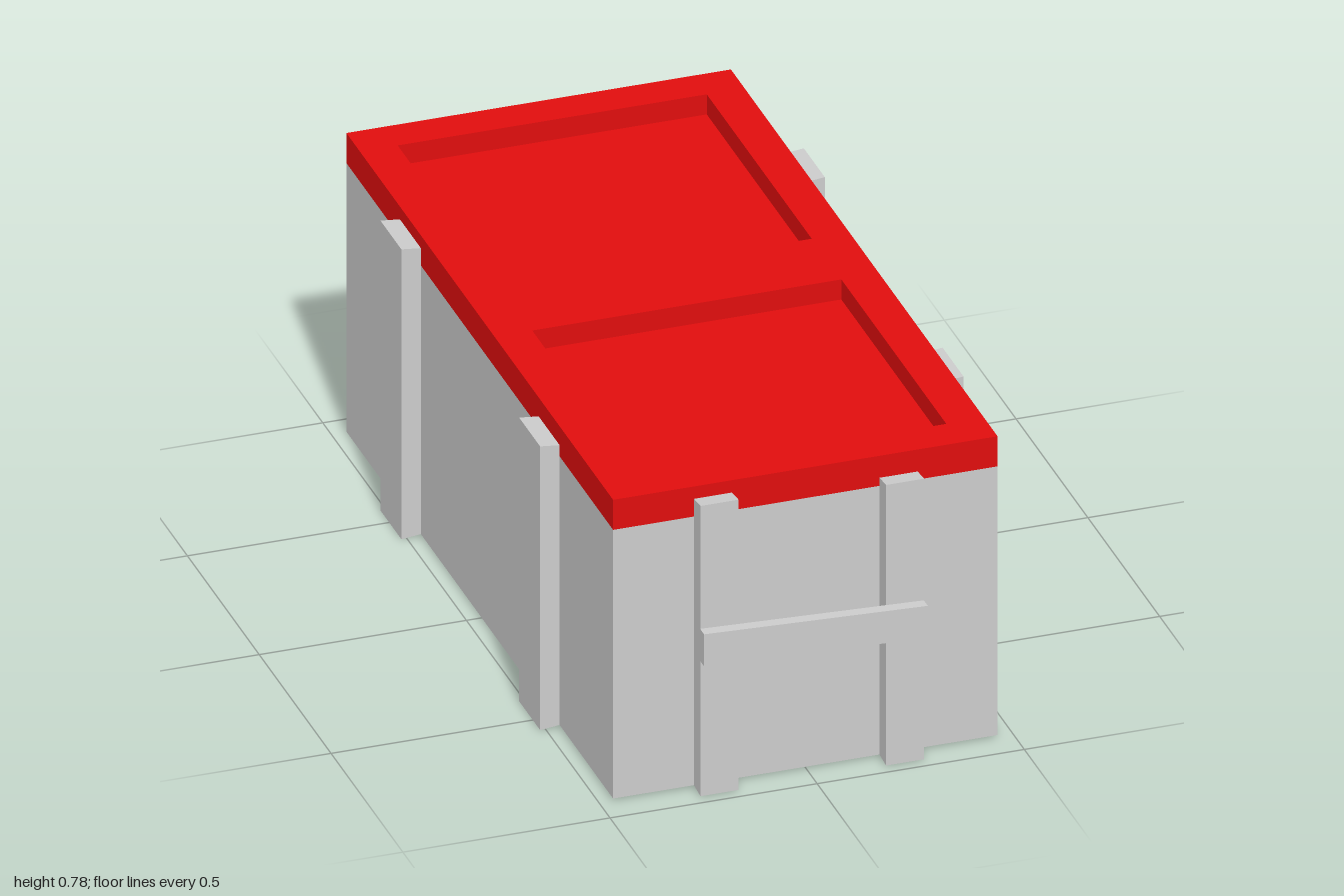
import * as THREE from 'three';

const grey = new THREE.MeshStandardMaterial({ color: 0xcccccc, flatShading: true });
const red = new THREE.MeshStandardMaterial({ color: 0xe00d0d, flatShading: true });

// Main dimensions; the box sits very slightly off centre
const HX = 0.464, HZ = 0.9285, CX = -0.002, CZ = -0.005;
const BASE = 0.005, RIM = 0.702, TOP = 0.78, FLOOR = 0.728;

function addMesh(parent, name, geometry, material) {
  const mesh = new THREE.Mesh(geometry, material);
  mesh.name = name;
  parent.add(mesh);
  return mesh;
}

// Box whose vertices are moved by a rule: (x, y, z) -> new y
function bentBox(w, h, d, rule) {
  const g = new THREE.BoxGeometry(w, h, d);
  const p = g.attributes.position;
  for (let i = 0; i < p.count; i++) p.setY(i, rule(p.getX(i), p.getY(i), p.getZ(i)));
  g.computeVertexNormals();
  return g;
}

// Upright batten facing +z, its outer face a touch taller than its inner one
function battenGeometry(width, top, depth) {
  return bentBox(width, 1, depth, (x, y, z) => {
    const inset = z > 0 ? 0 : 0.005;
    return y > 0 ? top - inset : inset;
  });
}

// Tilted handle slat with vertical ends, facing +z
function slatGeometry(width, depth, leftY, rightY) {
  return bentBox(width, 0.083, depth, (x, y) => y + (x < 0 ? leftY : rightY));
}

function rectangle(Type, x0, z0, x1, z1) {
  const r = new Type();
  r.moveTo(x0, z0);
  r.lineTo(x1, z0);
  r.lineTo(x1, z1);
  r.lineTo(x0, z1);
  r.closePath();
  return r;
}

export function createModel() {
  const model = new THREE.Group();
  model.name = 'crate';

  // Body
  const body = addMesh(model, 'body', new THREE.BoxGeometry(2 * HX, RIM - BASE, 2 * HZ), grey);
  body.position.set(CX, (RIM + BASE) / 2, CZ);

  // Lid with two sunken panels
  const lid = new THREE.Group();
  lid.name = 'lid';
  lid.position.set(CX, 0, CZ);
  model.add(lid);
  const outline = rectangle(THREE.Shape, -HX, -HZ, HX, HZ);
  const PX = 0.373, P0 = 0.103, P1 = 0.834;
  for (const s of [-1, 1]) {
    outline.holes.push(rectangle(THREE.Path, -PX, s * P0, PX, s * P1));
    const panel = addMesh(lid, 'lidPanel', new THREE.PlaneGeometry(2 * PX, P1 - P0), red);
    panel.rotation.x = -Math.PI / 2;
    panel.position.set(0, FLOOR, s * (P0 + P1) / 2);
  }
  const frame = new THREE.ExtrudeGeometry(outline, { depth: TOP - RIM, bevelEnabled: false });
  frame.rotateX(-Math.PI / 2).translate(0, RIM, 0);
  addMesh(lid, 'lidFrame', frame, red);

  // Side battens, the front pair a little shorter
  for (const s of [-1, 1]) {
    for (const [z, top] of [[0.483, 0.736], [-0.483, s > 0 ? 0.758 : 0.752]]) {
      const batten = addMesh(model, 'sideBatten', battenGeometry(0.146, top, 0.047), grey);
      batten.rotation.y = s * Math.PI / 2;
      batten.position.set(CX + s * (HX + 0.0235), 0, CZ + z);
    }
  }

  // End battens and tilted handle slat, repeated by a half turn
  for (const end of [
    { name: 'frontEnd', turn: 0, slat: 0.028, leftY: 0.393, rightY: 0.371 },
    { name: 'backEnd', turn: Math.PI, slat: 0.022, leftY: 0.407, rightY: 0.361 },
  ]) {
    const group = new THREE.Group();
    group.name = end.name;
    group.rotation.y = end.turn;
    group.position.set(CX, 0, CZ);
    model.add(group);
    for (const [x, top] of [[-0.223, 0.753], [0.225, 0.728]]) {
      const batten = addMesh(group, 'endBatten', battenGeometry(0.092, top, 0.046), grey);
      batten.position.set(x, 0, HZ + 0.023);
    }
    const slat = addMesh(group, 'handleSlat', slatGeometry(0.54, end.slat, end.leftY, end.rightY), grey);
    slat.position.z = HZ + 0.046 + end.slat / 2;
  }

  return model;
}
